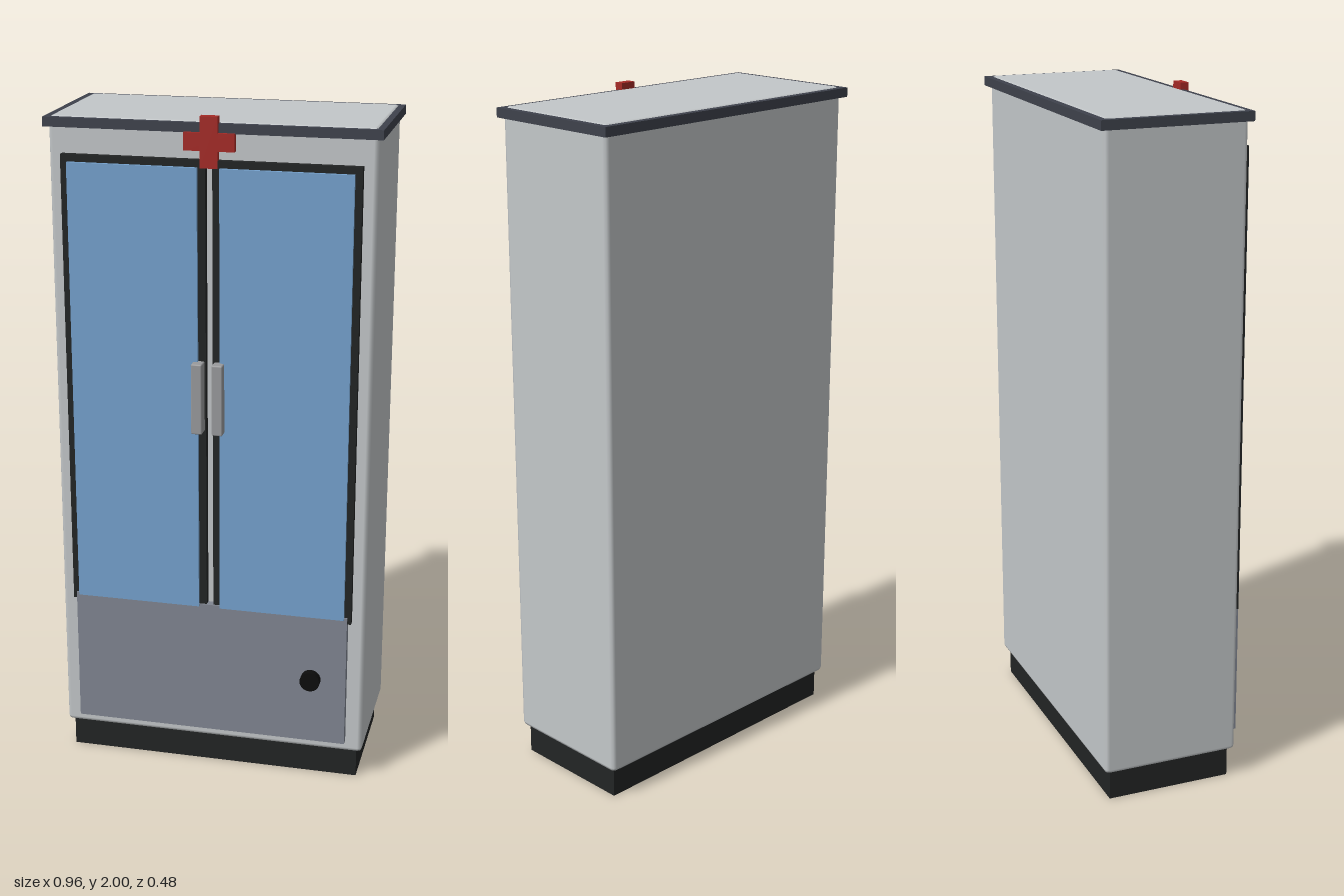
import * as THREE from 'three';
import { RoundedBoxGeometry } from 'three/addons/geometries/RoundedBoxGeometry.js';

const mat = (color) => new THREE.MeshStandardMaterial({ color });
const shell = mat(0xc3c7c9), trim = mat(0x3e424c), black = mat(0x222424);
const glass = mat(0x75a2ce), drawer = mat(0x808591), metal = mat(0x999a9c);
const red = mat(0xa52a26), knobBlack = mat(0x0c0c0c);

// Box given by its min and max corners, with an optional chamfer
function box(name, material, [x0, y0, z0], [x1, y1, z1], bevel = 0) {
  const size = [x1 - x0, y1 - y0, z1 - z0];
  const geometry = bevel
    ? new RoundedBoxGeometry(...size, 1, bevel)
    : new THREE.BoxGeometry(...size);
  const mesh = new THREE.Mesh(geometry, material);
  mesh.name = name;
  mesh.position.set((x0 + x1) / 2, (y0 + y1) / 2, (z0 + z1) / 2);
  return mesh;
}

// One door: dark frame, glass pane and pull handle; side is +1 or -1
function door(side) {
  const group = new THREE.Group();
  group.name = side > 0 ? 'leftDoor' : 'rightDoor';
  group.add(
    box('doorFrame', black, [0.01, 0.525, 0.17], [0.426, 1.88, 0.204]),
    box('doorGlass', glass, [0.032, 0.54, 0.195], [0.406, 1.86, 0.214]),
    box('doorHandle', metal, [0.014, 1.095, 0.2], [0.046, 1.305, 0.241], 0.004)
  );
  for (const part of group.children) part.position.x *= side;
  return group;
}

export function createModel() {
  const model = new THREE.Group();
  model.name = 'cabinet';

  // Carcass, plinth and top rim
  model.add(
    box('body', shell, [-0.465, 0.09, -0.229], [0.465, 1.983, 0.184], 0.013),
    box('plinth', black, [-0.447, 0, -0.21], [0.447, 0.1, 0.166]),
    box('topRim', trim, [-0.478, 1.953, -0.243], [0.478, 1.98, 0.194])
  );

  // Doors and lower drawer front
  model.add(door(1), door(-1));
  model.add(box('drawerFront', drawer, [-0.415, 0.128, 0.17], [0.415, 0.546, 0.209]));

  // Round drawer knob
  const knob = new THREE.Mesh(new THREE.CylinderGeometry(0.03, 0.03, 0.03, 24), knobBlack);
  knob.name = 'drawerKnob';
  knob.rotation.x = Math.PI / 2;
  knob.position.set(0.31, 0.336, 0.217);
  model.add(knob);

  // Cross emblem above the doors
  const cross = new THREE.Group();
  cross.name = 'crossEmblem';
  cross.add(
    box('crossUpright', red, [-0.025, 1.858, 0.18], [0.025, 2, 0.206]),
    box('crossBar', red, [-0.072, 1.905, 0.182], [0.072, 1.955, 0.204])
  );
  model.add(cross);

  return model;
}
